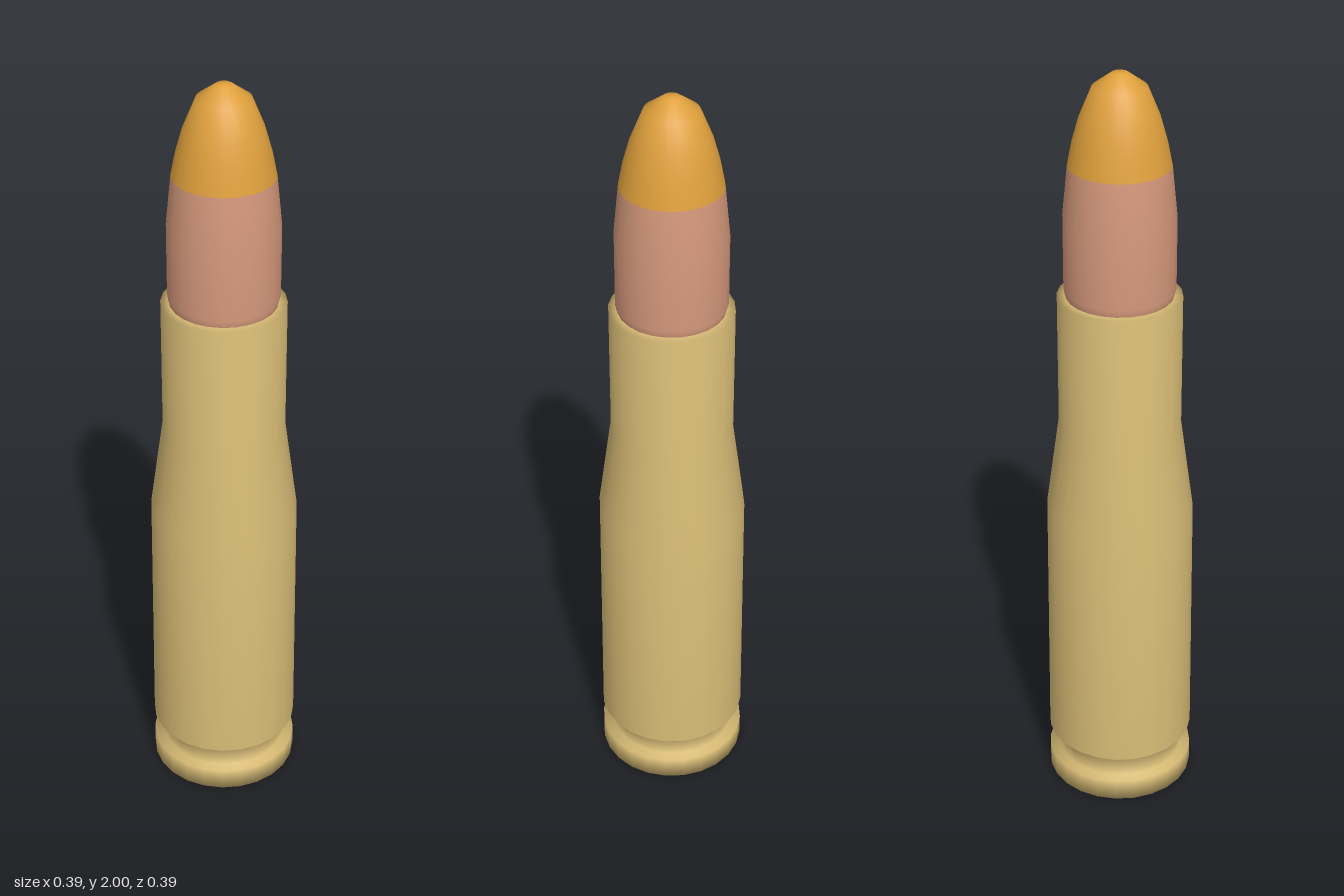
import * as THREE from 'three';

const SIDES = 24;

function material(name, color) {
  const m = new THREE.MeshStandardMaterial({ color });
  m.name = name;
  return m;
}

// Turned part from [radius, height] pairs, listed bottom to top
function turned(name, profile, mat) {
  const points = profile.map(([r, y]) => new THREE.Vector2(r, y));
  const mesh = new THREE.Mesh(new THREE.LatheGeometry(points, SIDES), mat);
  mesh.name = name;
  return mesh;
}

export function createModel() {
  const brass = material('brass', 0xdcbf78);
  const copper = material('copper', 0xd6997c);
  const amber = material('amber', 0xdfa03c);
  const group = new THREE.Group();
  group.name = 'cartridge';

  // Case: base, rim, extractor groove, tapered body, shoulder, neck and mouth
  group.add(turned('case', [
    [0, 0], [0.195, 0], [0.195, 0.06], [0.167, 0.06], [0.167, 0.11],
    [0.195, 0.135], [0.191, 0.83], [0.157, 1.08], [0.157, 1.43], [0.13, 1.43], [0, 1.43],
  ], brass));

  // Bullet jacket, seated in the mouth
  const jacket = turned('bulletJacket', [
    [0.135, 1.43], [0.14, 1.45], [0.14, 1.64], [0.127, 1.77],
  ], copper);

  // Rounded nose with a small flat tip
  const nose = turned('bulletNose', [
    [0.127, 1.77], [0.115, 1.83], [0.098, 1.89], [0.067, 1.965], [0.02, 1.999], [0, 2],
  ], amber);

  group.add(jacket, nose);
  return group;
}
